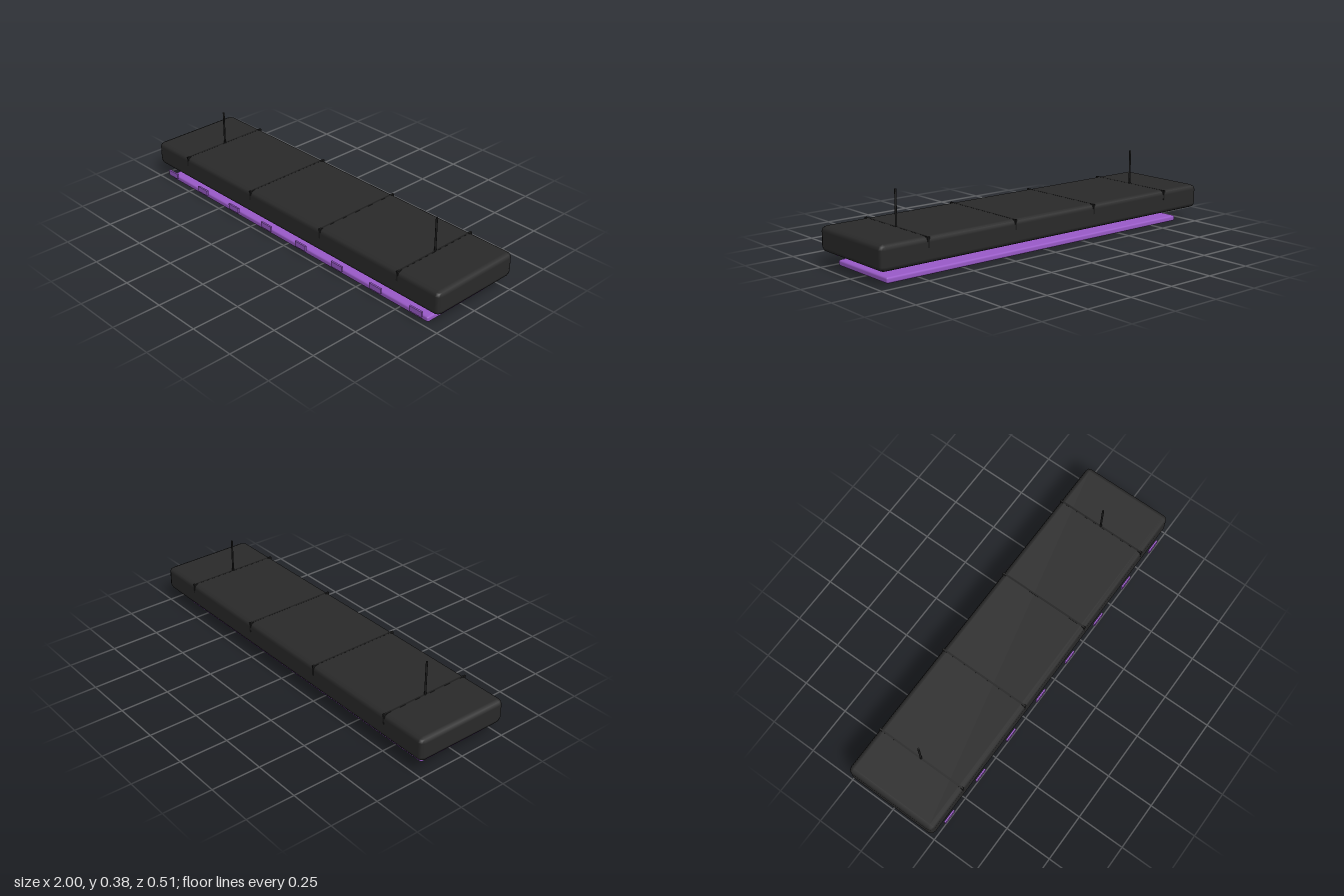
import * as THREE from 'three';
import { RoundedBoxGeometry } from 'three/addons/geometries/RoundedBoxGeometry.js';

export function createModel() {
  const group = new THREE.Group();
  const black = new THREE.MeshStandardMaterial({ name: 'black', color: 0x2a2a2a });
  const darkTrim = new THREE.MeshStandardMaterial({ name: 'dark trim', color: 0x1e1e1e });
  const purple = new THREE.MeshStandardMaterial({ name: 'purple', color: 0x9b5bca });

  const add = (name, geometry, material, x, y, z) => {
    const mesh = new THREE.Mesh(geometry, material);
    mesh.name = name;
    mesh.position.set(x, y, z);
    group.add(mesh);
  };
  const midZ = -0.003;

  // Housing with softly bevelled edges
  add('housing', new RoundedBoxGeometry(2, 0.123, 0.5, 1, 0.025), black, 0, 0.1385, midZ);

  // Thin seams across the top, square at their ends
  const seam = new THREE.BoxGeometry(0.01, 0.05, 0.501);
  for (const x of [-0.75, -0.25, 0.25, 0.75]) add('seam', seam, darkTrim, x, 0.1755, midZ);

  // Hanging rods
  const rod = new THREE.CylinderGeometry(0.005, 0.005, 0.186, 12);
  for (const x of [-0.75, 0.75]) add('hangingRod', rod, darkTrim, x, 0.283, midZ);

  // Glowing panel below the housing
  add('lightPanel', new RoundedBoxGeometry(1.845, 0.03, 0.4, 1, 0.01), purple, 0, 0.015, 0.0225);

  // Row of small lights along the front
  const tab = new THREE.BoxGeometry(0.073, 0.028, 0.009);
  for (let i = 0; i < 8; i++) add('frontLight', tab, purple, -0.875 + i * 0.25, 0.054, 0.251);

  return group;
}
